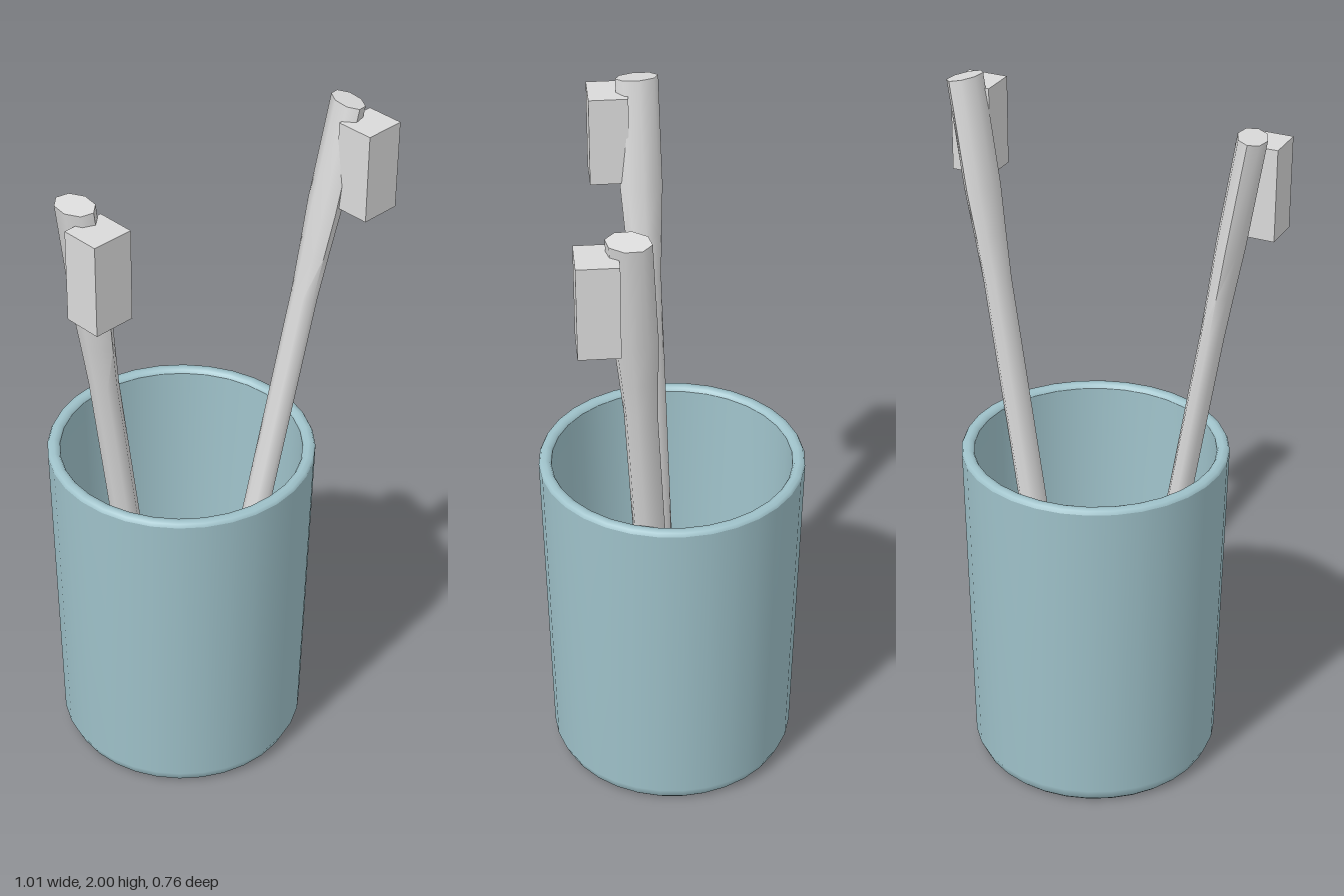
import * as THREE from 'three';
import { toCreasedNormals } from 'three/addons/utils/BufferGeometryUtils.js';

const V = (x, y, z) => new THREE.Vector3(x, y, z);

// Lathe surface from [radius, height] pairs
function lathe(points) {
  return new THREE.LatheGeometry(points.map(([r, y]) => new THREE.Vector2(r, y)), 32);
}

// Eight-sided oval handle from bottom to top, widening into a head
function handleGeometry(bottom, top) {
  // stations: [fraction along the axis, half width, half thickness]
  const stations = [[0, 0.047, 0.034], [0.4, 0.046, 0.034], [0.7, 0.046, 0.034],
    [0.77, 0.053, 0.037], [0.84, 0.061, 0.041], [1, 0.061, 0.041]];
  const n = stations.length - 1;
  const axis = top.clone().sub(bottom);
  const length = axis.length();
  axis.normalize();
  const wide = axis.clone().cross(V(0, 1, 0)).normalize();
  const thin = wide.clone().cross(axis);

  const g = new THREE.CylinderGeometry(1, 1, 1, 8, n);
  const p = g.attributes.position;
  for (let i = 0; i < p.count; i++) {
    const [t, w, d] = stations[Math.round((p.getY(i) + 0.5) * n)];
    p.setXYZ(i, p.getX(i) * w, t * length, p.getZ(i) * d);
  }
  g.applyMatrix4(new THREE.Matrix4().makeBasis(wide, axis, thin).setPosition(bottom));
  return toCreasedNormals(g, 1.05);
}

export function createModel() {
  const model = new THREE.Group();
  const cupBlue = new THREE.MeshStandardMaterial({ color: 0x9fc2ca });
  cupBlue.name = 'cupBlue';
  const brushWhite = new THREE.MeshStandardMaterial({ color: 0xdadada });
  brushWhite.name = 'brushWhite';

  const add = (parent, name, geometry, material) => {
    const mesh = new THREE.Mesh(geometry, material);
    mesh.name = name;
    parent.add(mesh);
    return mesh;
  };

  // Tumbler: outer shell, rim and inner lining
  const cup = new THREE.Group();
  cup.name = 'cup';
  cup.position.x = -0.03;
  model.add(cup);
  add(cup, 'cupShell', lathe([[0, 0], [0.335, 0], [0.345, 0.01], [0.361, 0.045], [0.381, 1]]), cupBlue);
  add(cup, 'cupRim', lathe([[0.381, 1], [0.376, 1.01], [0.362, 1.012], [0.35, 1.009], [0.345, 1]]), cupBlue);
  add(cup, 'cupLining', lathe([[0.345, 1], [0.325, 0.06], [0.31, 0.03], [0, 0.03]]), cupBlue);

  // Two brushes leaning outwards, each with an upright bristle block
  const brushes = [
    { name: 'leftBrush', bottom: V(0.085, 0.03, 0.035), top: V(0.445, 1.982, 0.15), block: V(0.445, 1.815, 0.23) },
    { name: 'rightBrush', bottom: V(-0.145, 0.03, 0.016), top: V(-0.45, 1.993, 0.06), block: V(-0.45, 1.825, 0.143) },
  ];
  for (const b of brushes) {
    const brush = new THREE.Group();
    brush.name = b.name;
    model.add(brush);
    add(brush, 'handle', handleGeometry(b.bottom, b.top), brushWhite);
    add(brush, 'bristles', new THREE.BoxGeometry(0.12, 0.26, 0.11), brushWhite).position.copy(b.block);
  }
  return model;
}
